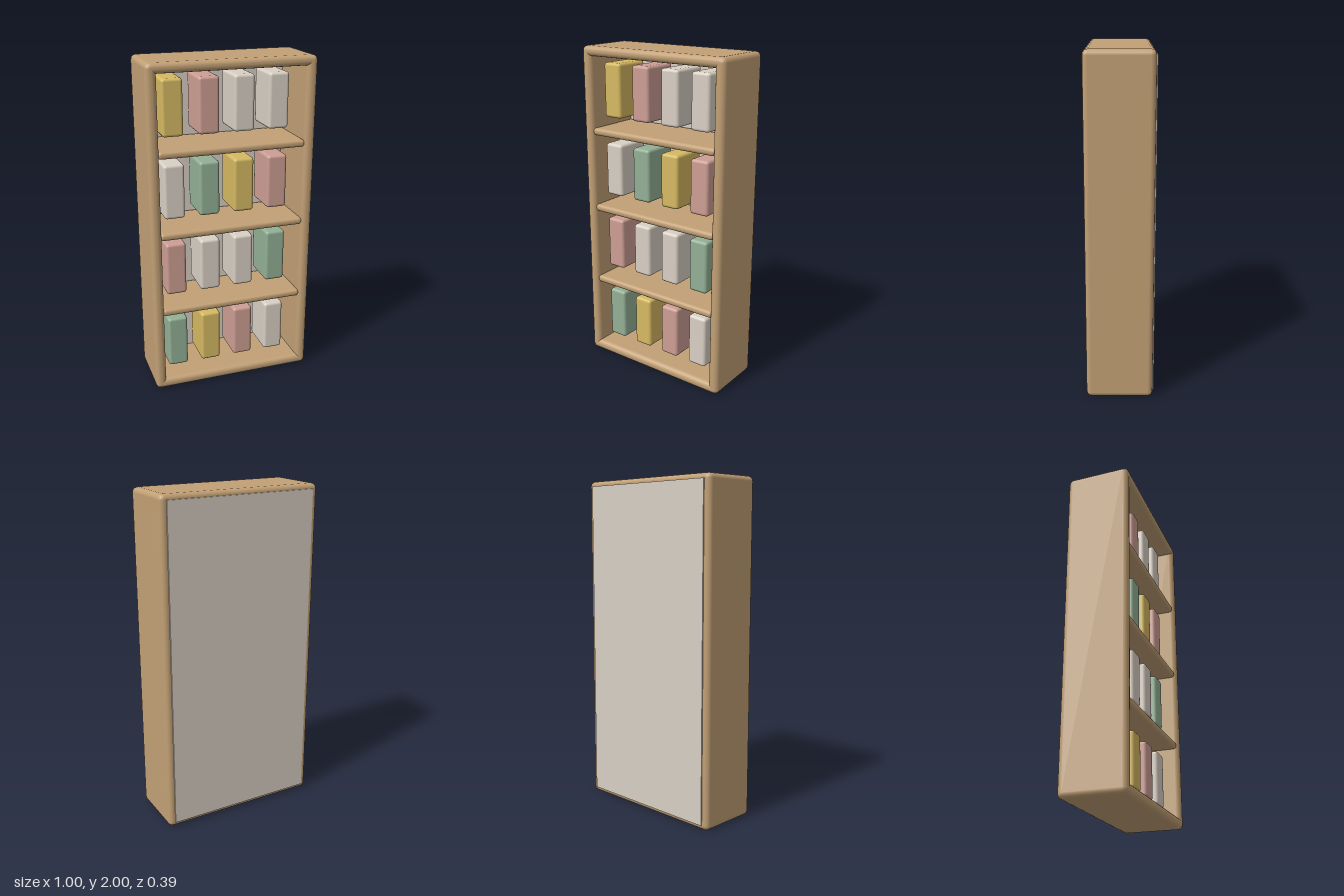
import * as THREE from 'three';
import { RoundedBoxGeometry } from 'three/addons/geometries/RoundedBoxGeometry.js';

function material(name, color) {
  const m = new THREE.MeshStandardMaterial({ color });
  m.name = name;
  return m;
}

export function createModel() {
  const group = new THREE.Group();
  group.name = 'bookcase';

  const wood = material('wood', 0xc2a075);
  const panel = material('panel', 0xd8cfc3);
  const books = {
    y: material('yellow', 0xd6b962),
    p: material('pink', 0xcd9e94),
    g: material('green', 0x94b096),
    c: material('cream', 0xd9d0c4),
  };

  // Soft-edged box given by its size and centre
  function block(name, mat, w, h, d, x, y, z, radius) {
    const mesh = new THREE.Mesh(new RoundedBoxGeometry(w, h, d, 2, radius), mat);
    mesh.position.set(x, y, z);
    mesh.name = name;
    group.add(mesh);
    return mesh;
  }

  // Outer frame
  for (const s of [-1, 1]) {
    block(s > 0 ? 'leftSide' : 'rightSide', wood, 0.065, 2, 0.387, s * 0.4675, 1, 0.003, 0.03);
  }
  block('topBoard', wood, 0.98, 0.06, 0.387, 0, 1.97, 0.003, 0.028);
  block('bottomBoard', wood, 0.98, 0.065, 0.387, 0, 0.0325, 0.003, 0.03);

  // Back panel
  const back = new THREE.Mesh(new THREE.BoxGeometry(0.925, 1.94, 0.025), panel);
  back.position.set(0, 1, -0.1845);
  back.name = 'backPanel';
  group.add(back);

  // Inner shelves
  [0.515, 1.003, 1.49].forEach((y, i) => {
    block('shelf' + (i + 1), wood, 0.885, 0.045, 0.36, 0, y, 0.005, 0.02);
  });

  // Rows of books, from bottom to top
  const rows = ['gypc', 'pccg', 'cgyp', 'ypcc'];
  const rowY = [0.27, 0.765, 1.25, 1.738];
  const colX = [-0.336, -0.124, 0.087, 0.297];
  rows.forEach((row, r) => {
    [...row].forEach((key, c) => {
      block(`book${r + 1}_${c + 1}`, books[key], 0.123, 0.327, 0.235, colX[c], rowY[r], 0.002, 0.018);
    });
  });

  return group;
}
